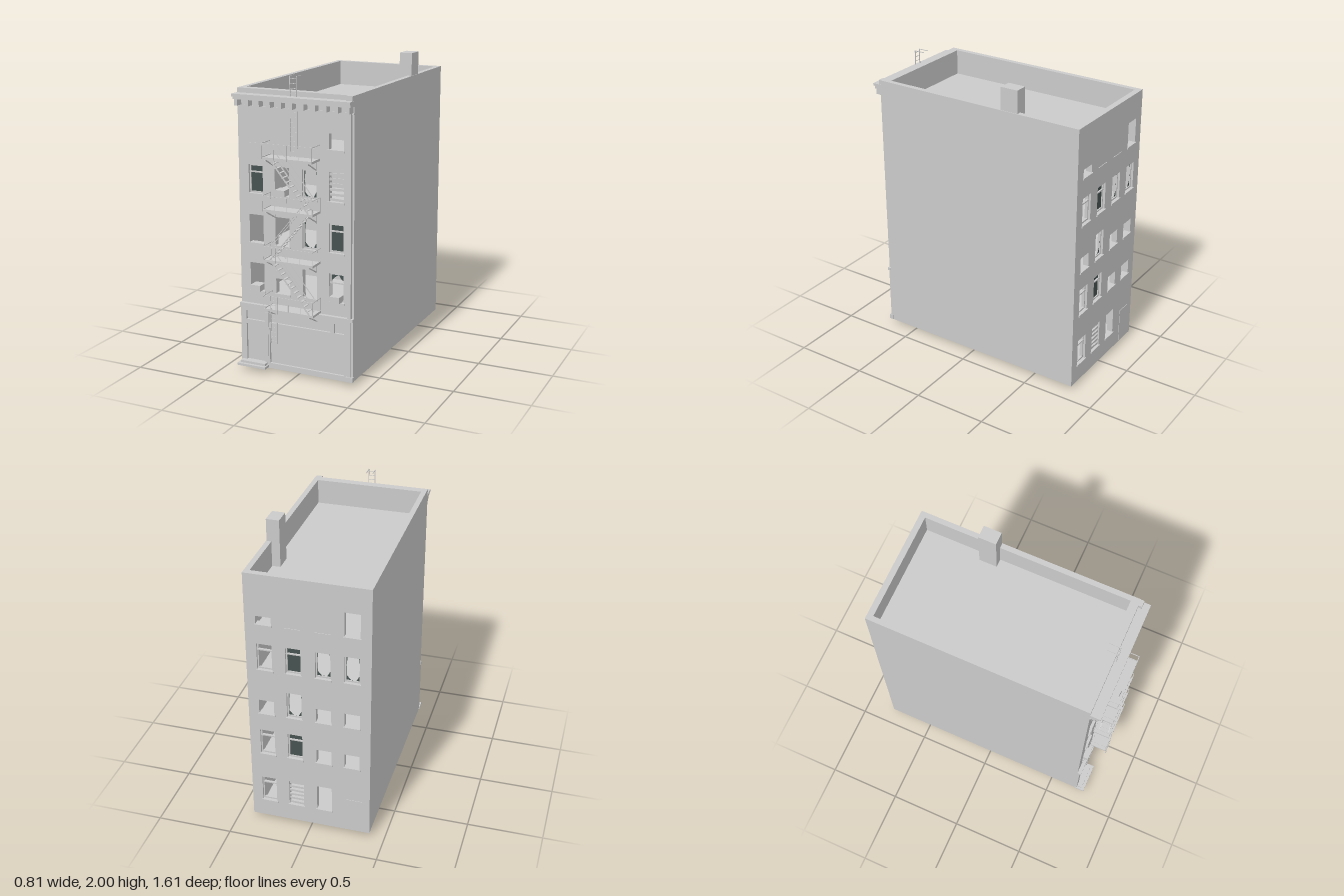
import * as THREE from 'three';

const masonry = new THREE.MeshStandardMaterial({ color: 0xcacaca });
masonry.name = 'grey masonry';
const glass = new THREE.MeshStandardMaterial({ color: 0x465250, side: THREE.DoubleSide });
glass.name = 'dark glass';

const COLUMNS = [-0.28, -0.095, 0.095, 0.28];
const WIN_W = 0.1, WALL = 0.04, FRONT = 0.685;
// Opening height by window kind: half, quarter and tall openings
const HEIGHTS = { h: 0.1, q: 0.055, t: 0.165 };
const heightOf = kind => HEIGHTS[kind] ?? 0.185;

function add(parent, name, geometry, material = masonry) {
  const mesh = new THREE.Mesh(geometry, material);
  mesh.name = name;
  parent.add(mesh);
  return mesh;
}

// Box given by its min and max on each axis
function box(parent, name, x0, x1, y0, y1, z0, z1) {
  const mesh = add(parent, name, new THREE.BoxGeometry(x1 - x0, y1 - y0, z1 - z0));
  mesh.position.set((x0 + x1) / 2, (y0 + y1) / 2, (z0 + z1) / 2);
  return mesh;
}

// Thin square bar between two points
function bar(parent, name, a, b, t = 0.004) {
  const from = new THREE.Vector3(...a), to = new THREE.Vector3(...b);
  const mesh = add(parent, name, new THREE.BoxGeometry(t, t, from.distanceTo(to)));
  mesh.position.copy(from).lerp(to, 0.5);
  mesh.lookAt(to);
  return mesh;
}

function rectPath(PathType, x0, x1, y0, y1) {
  return new PathType([[x0, y0], [x1, y0], [x1, y1], [x0, y1]].map(p => new THREE.Vector2(...p)));
}

// Fittings of one window; the wall face lies at z = 0 and the sill at y.
// Kinds: g glazed, b and c broken pane, f empty frame, s boarded, a air conditioner
function windowFittings(parent, kind, x, y) {
  const win = new THREE.Group();
  win.name = 'window';
  win.position.set(x, y, 0);
  parent.add(win);
  const w = WIN_W / 2, h = heightOf(kind);
  box(win, 'sill', -0.056, 0.056, -0.012, 0, -0.03, 0.008);
  if ('gbcf'.includes(kind)) {
    for (const s of [-1, 1]) box(win, 'frameSide', s * 0.046 - 0.004, s * 0.046 + 0.004, 0, h, -0.03, -0.015);
    box(win, 'frameTop', -w, w, h - 0.01, h, -0.03, -0.015);
    box(win, 'frameBottom', -w, w, 0, 0.01, -0.03, -0.015);
    if (kind !== 'b') {
      const railY = kind === 'c' ? 0.117 : 0.132;
      box(win, 'meetingRail', -w, w, railY, railY + 0.008, -0.028, -0.012);
    }
  }
  if ('gbc'.includes(kind)) {
    const pane = rectPath(THREE.Shape, -0.043, 0.043, 0.008, h - 0.008);
    if (kind !== 'g') {
      // Jagged opening that leaves shards in the corners
      const jag = kind === 'b'
        ? [[-0.015, 0.012], [0.02, 0.01], [0.039, 0.045], [0.042, 0.12], [0.035, 0.175], [-0.035, 0.175], [-0.042, 0.12], [-0.04, 0.04]]
        : [[-0.042, 0.012], [0.042, 0.012], [0.042, 0.135], [0.025, 0.145], [0.005, 0.174], [-0.015, 0.16], [-0.042, 0.135]];
      pane.holes.push(new THREE.Path(jag.map(p => new THREE.Vector2(...p))));
    }
    add(win, 'pane', new THREE.ShapeGeometry(pane), glass).position.z = -0.023;
  }
  if (kind === 's') {
    for (let i = 0; i < 6; i++) {
      const board = box(win, 'board', -0.049, 0.049, 0, 0.015, -0.016, -0.009);
      board.position.y = 0.012 + i * 0.032;
      board.rotation.z = (i % 3 - 1) * 0.03;
    }
  }
  if (kind === 'a' || kind === 'c') box(win, 'airConditioner', -0.034, 0.034, 0.004, 0.044, -0.04, 0.034);
}

// Pierced wall with rows of windows; 'x' marks a walled-up window, '-' none
function facade(name, rows) {
  const group = new THREE.Group();
  group.name = name;
  const wall = rectPath(THREE.Shape, -0.4, 0.4, 0.03, 1.85);
  for (const [y, kinds] of rows) {
    COLUMNS.forEach((x, i) => {
      const kind = kinds[i];
      if (kind === '-') return;
      if (kind === 'x') {
        box(group, 'sill', x - 0.05, x + 0.05, y - 0.004, y, 0, 0.004);
        return;
      }
      wall.holes.push(rectPath(THREE.Path, x - WIN_W / 2, x + WIN_W / 2, y, y + heightOf(kind)));
      windowFittings(group, kind, x, y);
    });
  }
  add(group, 'wall', new THREE.ExtrudeGeometry(wall, { depth: WALL, bevelEnabled: false })).position.z = -WALL;
  return group;
}

function ladder(parent, name, x0, x1, y0, y1, z) {
  const g = new THREE.Group();
  g.name = name;
  parent.add(g);
  for (const x of [x0, x1]) bar(g, 'ladderRail', [x, y0, z], [x, y1, z], 0.005);
  for (let y = y0 + 0.015; y < y1; y += 0.03) bar(g, 'rung', [x0, y, z], [x1, y, z], 0.003);
  return g;
}

function fireEscape() {
  const g = new THREE.Group();
  g.name = 'fireEscape';
  const L = -0.175, R = 0.17, Z0 = FRONT + 0.002, Z1 = 0.8;
  const levels = [0.455, 0.78, 1.105, 1.435];
  for (const y of levels) {
    const top = y + 0.1;
    box(g, 'landing', L, R, y + 0.004, y + 0.01, Z0, Z1);
    box(g, 'landingEdge', L, R, y, y + 0.015, Z1 - 0.004, Z1);
    for (const x of [L, R]) box(g, 'landingEnd', x - 0.002, x + 0.002, y, y + 0.015, Z0, Z1);
    // Guard rail and posts
    bar(g, 'guardRail', [L, top, Z1], [R, top, Z1]);
    for (const x of [L, R]) bar(g, 'guardRail', [x, top, Z0], [x, top, Z1]);
    for (let i = 0; i <= 4; i++) {
      const x = L + (R - L) * i / 4;
      bar(g, 'post', [x, y, Z1], [x, top, Z1], 0.003);
    }
    for (const x of [L, R]) bar(g, 'post', [x, y, Z0], [x, top, Z0], 0.003);
    // Wall brackets
    for (const x of [-0.148, 0.143]) {
      bar(g, 'bracket', [x, y, Z1], [x, y - 0.06, Z0], 0.006);
      bar(g, 'bracketFoot', [x, y - 0.065, Z0], [x, y, Z0], 0.006);
    }
  }
  // Zigzag stairs with handrails
  for (let i = 0; i < 3; i++) {
    const s = i % 2 ? -1 : 1, y0 = levels[i], y1 = levels[i + 1];
    for (const z of [0.718, 0.782]) {
      bar(g, 'stringer', [s * 0.14, y0 + 0.005, z], [-s * 0.13, y1 + 0.005, z], 0.007);
      bar(g, 'handrail', [s * 0.14, y0 + 0.1, z], [-s * 0.13, y1 + 0.1, z]);
    }
    for (let k = 1; k < 12; k++) {
      const t = k / 12, x = s * (0.14 - 0.27 * t), y = y0 + (y1 - y0) * t;
      box(g, 'tread', x - 0.008, x + 0.008, y, y + 0.003, 0.718, 0.782);
    }
  }
  ladder(g, 'dropLadder', -0.125, -0.08, 0.245, 0.56, 0.801);
  const roofLadder = ladder(g, 'roofLadder', -0.025, 0.02, 1.435, 1.945, 0.697);
  for (const x of [-0.025, 0.02]) bar(roofLadder, 'gooseneck', [x, 1.943, 0.697], [x, 1.943, 0.625]);
  return g;
}

export function createModel() {
  const model = new THREE.Group();
  model.name = 'apartmentBuilding';
  const inner = FRONT - WALL;

  // Plinth, floors, partition, roof and side walls
  box(model, 'plinth', -0.36, 0.36, 0, 0.03, -0.76, 0.65);
  box(model, 'groundFloor', -0.365, 0.365, 0.03, 0.05, -0.76, inner);
  for (const y of [0.45, 0.78, 1.1, 1.43]) box(model, 'floor', -0.365, 0.365, y - 0.02, y, -0.76, inner);
  box(model, 'partition', -0.365, 0.365, 0.05, 1.66, -0.02, 0.02);
  box(model, 'roof', -0.365, 0.365, 1.66, 1.68, -0.76, inner);
  box(model, 'parapetFront', -0.365, 0.365, 1.68, 1.85, 0.63, inner);
  for (const s of [-1, 1]) {
    box(model, 'sideWall', Math.min(s * 0.365, s * 0.4), Math.max(s * 0.365, s * 0.4), 0.03, 1.85, -0.76, inner);
  }
  box(model, 'chimney', 0.31, 0.396, 1.66, 2, -0.365, -0.245);

  // Front and back walls
  const front = facade('front', [[0.54, 'ahoc'], [0.86, 'oobg'], [1.185, 'gabs'], [1.51, 'xxxh']]);
  front.position.z = FRONT;
  model.add(front);
  const back = facade('back', [[0.16, 'fso-'], [0.54, 'fghh'], [0.855, 'hbhh'], [1.185, 'fgbb'], [1.51, 'qxxt']]);
  back.rotation.y = Math.PI;
  back.position.z = -0.8;
  model.add(back);
  box(model, 'backDoor', -0.35, -0.24, 0.04, 0.28, -0.803, -0.8);

  // Shop front with openings for door, transom, window and sign panels
  const shop = rectPath(THREE.Shape, -0.4, 0.4, 0.03, 0.405);
  for (const r of [[-0.36, -0.225, 0.06, 0.31], [-0.36, -0.225, 0.338, 0.4], [-0.19, 0.337, 0.06, 0.302],
    [-0.19, 0.245, 0.338, 0.4], [0.27, 0.337, 0.338, 0.4]]) shop.holes.push(rectPath(THREE.Path, ...r));
  add(model, 'shopFront', new THREE.ExtrudeGeometry(shop, { depth: 0.015, bevelEnabled: false })).position.z = FRONT;
  box(model, 'doorPost', -0.217, -0.198, 0.06, 0.405, 0.7, 0.705);
  box(model, 'beltLower', -0.4, 0.4, 0.405, 0.43, FRONT, 0.7);
  box(model, 'beltUpper', -0.402, 0.402, 0.43, 0.45, FRONT, 0.71);
  box(model, 'stepLower', -0.405, -0.2, 0.03, 0.045, FRONT, 0.755);
  box(model, 'stepUpper', -0.39, -0.21, 0.045, 0.06, FRONT, 0.735);

  // Corner pilaster
  box(model, 'pilaster', 0.362, 0.387, 0.06, 1.79, FRONT, 0.706);
  box(model, 'pilasterFoot', 0.355, 0.403, 0.03, 0.062, FRONT, 0.714);
  box(model, 'pilasterCap', 0.355, 0.398, 1.815, 1.85, FRONT, 0.708);

  // Cornice with brackets
  box(model, 'corniceTop', -0.404, 0.402, 1.803, 1.82, FRONT, 0.753);
  box(model, 'corniceBed', -0.4, 0.4, 1.785, 1.803, FRONT, 0.742);
  box(model, 'frieze', -0.4, 0.4, 1.735, 1.745, FRONT, 0.691);
  for (let i = 0; i < 11; i++) {
    const x = -0.384 + i * 0.0765;
    box(model, 'corniceBracket', x - 0.011, x + 0.011, 1.745, 1.785, FRONT, 0.737);
  }

  model.add(fireEscape());
  return model;
}
